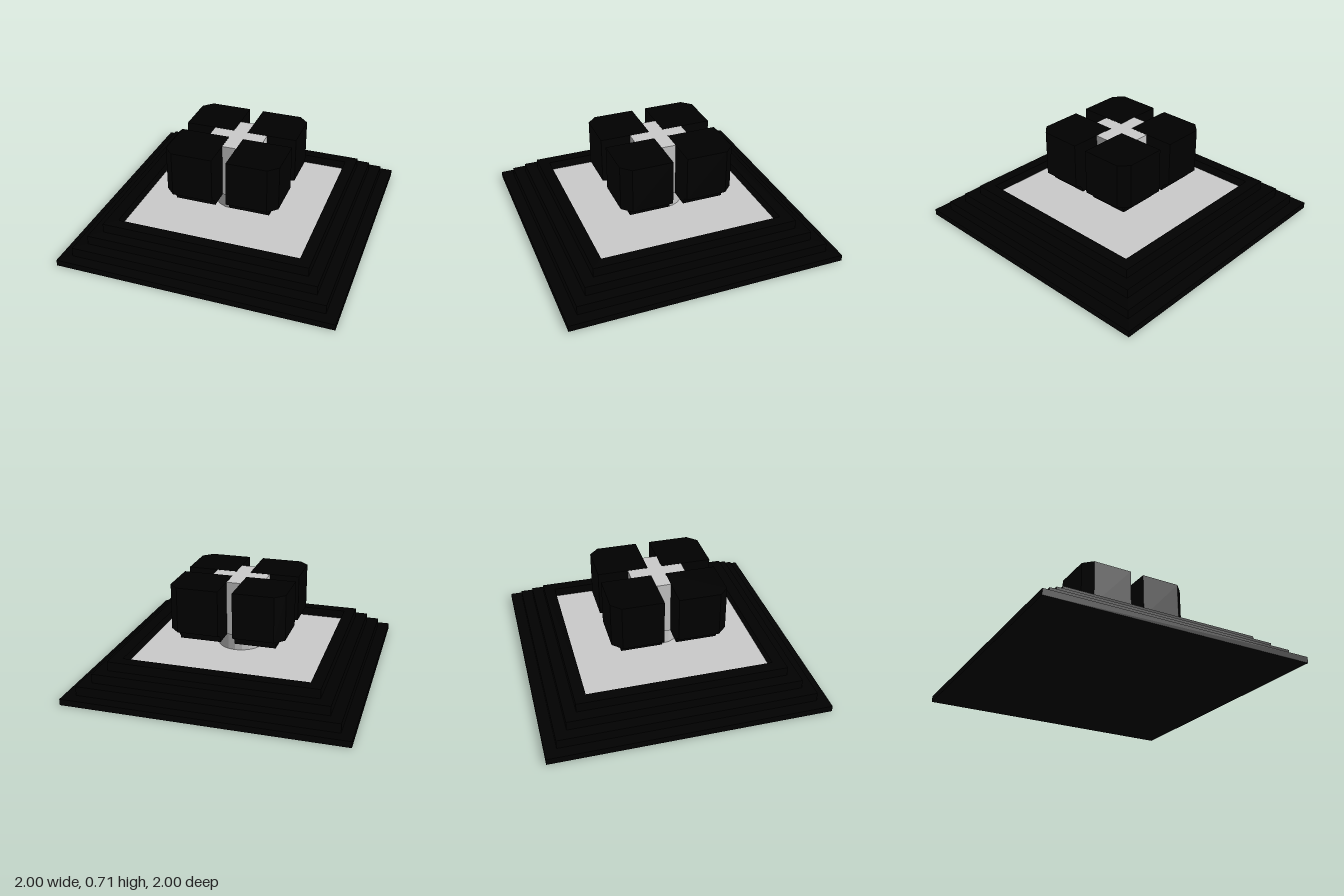
import * as THREE from 'three';

const black = new THREE.MeshStandardMaterial({ color: 0x000000, flatShading: true });
const grey = new THREE.MeshStandardMaterial({ color: 0xcccccc, flatShading: true });

const BASE = 0.045, STEP = 0.0667;      // height of the first tier and of each step
const FLOOR = BASE + 2 * STEP;          // sunken floor level
const LOW = 0.312, HIGH = 0.712;        // bottom and top of the raised head
const COVE = 0.067;                     // radius of the cove, and corner bevel size
const INNER = 0.052, OUTER = 0.417;

// One corner block: pentagonal cross-sections stacked upward, hollowed by a cove at the foot
function cornerBlockGeometry() {
  const levels = [];
  for (let i = 0; i <= 6; i++) {
    const a = (i / 6) * Math.PI / 2;
    levels.push([OUTER - COVE * Math.cos(a), LOW + COVE * Math.sin(a)]);
  }
  levels.push([OUTER, HIGH]);
  const bevel = OUTER - COVE;
  const rings = levels.map(([p, y]) => [
    [INNER, y, INNER], [p, y, INNER], [p, y, bevel], [bevel, y, p], [INNER, y, p],
  ]);
  const pos = [];
  const tri = (a, b, c) => pos.push(...a, ...b, ...c);
  for (let l = 0; l < rings.length - 1; l++) {
    const lo = rings[l], hi = rings[l + 1];
    for (let i = 0; i < 5; i++) {
      const j = (i + 1) % 5;
      tri(lo[i], hi[i], lo[j]);
      tri(lo[j], hi[i], hi[j]);
    }
  }
  const bottom = rings[0], top = rings[rings.length - 1];
  for (let k = 1; k < 4; k++) {
    tri(bottom[0], bottom[k], bottom[k + 1]);
    tri(top[0], top[k + 1], top[k]);
  }
  const geo = new THREE.BufferGeometry();
  geo.setAttribute('position', new THREE.Float32BufferAttribute(pos, 3));
  geo.computeVertexNormals();
  return geo;
}

export function createModel() {
  const model = new THREE.Group();
  model.name = 'steppedMonument';
  const add = (name, geo, mat, y = 0) => {
    const mesh = new THREE.Mesh(geo, mat);
    mesh.name = name;
    mesh.position.y = y;
    model.add(mesh);
    return mesh;
  };
  const slab = (name, half, y0, y1, mat) =>
    add(name, new THREE.BoxGeometry(half * 2, y1 - y0, half * 2), mat, (y0 + y1) / 2);

  // Stepped base
  for (let i = 0; i < 3; i++) {
    slab(`baseTier${i + 1}`, 1 - i / 12, i ? BASE + (i - 1) * STEP : 0, BASE + i * STEP, black);
  }

  // Top tier is a square rim around a sunken floor
  const square = (Type, h) => new Type([[-h, -h], [h, -h], [h, h], [-h, h]].map(([x, y]) => new THREE.Vector2(x, y)));
  const rim = square(THREE.Shape, 0.75);
  rim.holes.push(square(THREE.Path, 2 / 3));
  const rimGeo = new THREE.ExtrudeGeometry(rim, { depth: STEP, bevelEnabled: false });
  rimGeo.rotateX(-Math.PI / 2);
  add('baseRim', rimGeo, black, FLOOR);
  slab('sunkenFloor', 2 / 3, FLOOR - 0.01, FLOOR + 0.002, grey);

  // Post and core
  add('post', new THREE.CylinderGeometry(0.167, 0.167, LOW - FLOOR, 20), grey, (FLOOR + LOW) / 2);
  slab('core', 0.2, LOW + 0.001, HIGH - 0.001, grey);

  // Four corner blocks
  const blockGeo = cornerBlockGeometry();
  for (let i = 0; i < 4; i++) {
    add(`cornerBlock${i + 1}`, blockGeo, black).rotation.y = i * Math.PI / 2;
  }
  return model;
}
